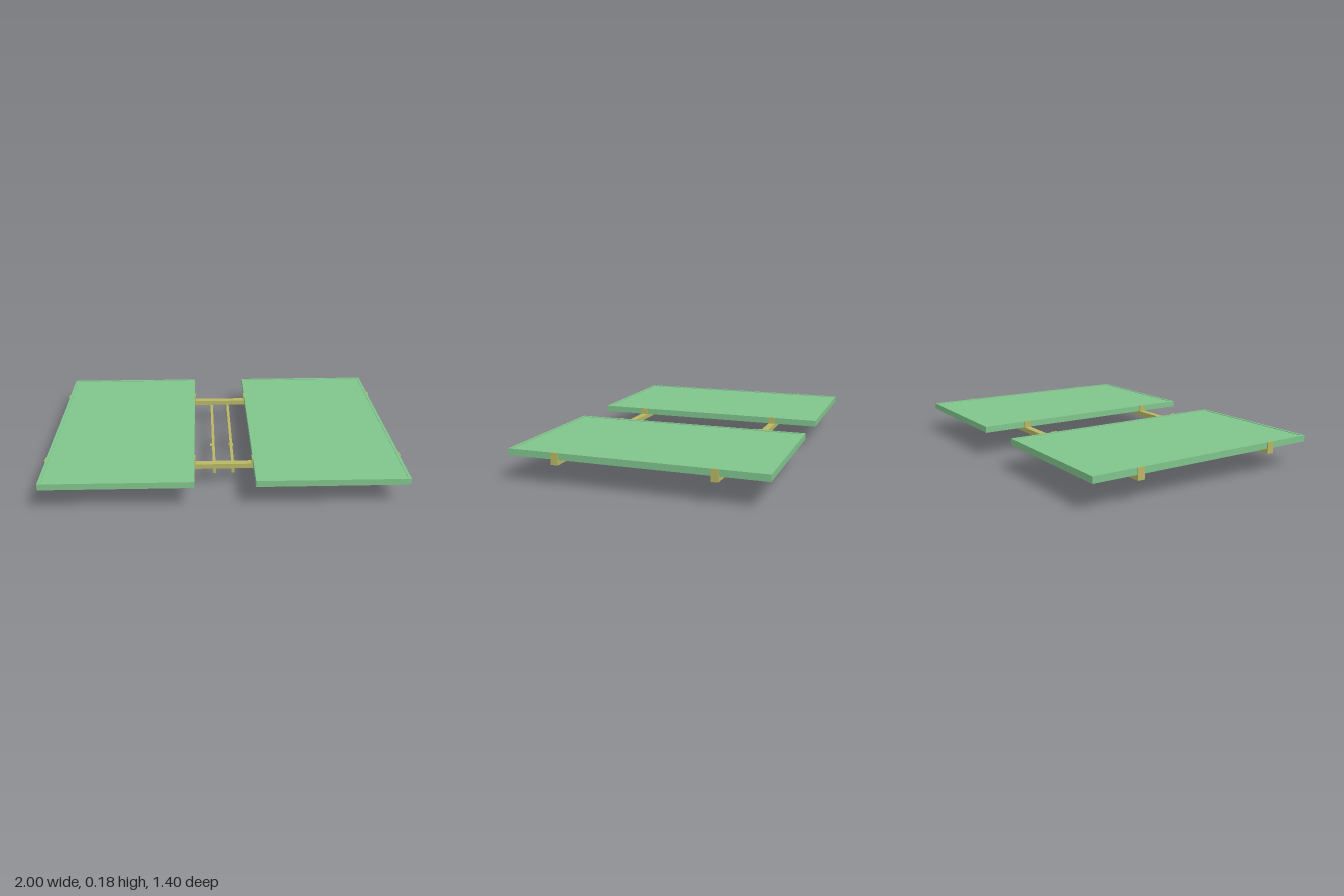
import * as THREE from 'three';

const green = new THREE.MeshStandardMaterial({ color: 0x80c48c });
const olive = new THREE.MeshStandardMaterial({ color: 0xb8b664 });

function add(parent, name, geometry, material, x, y, z) {
  const mesh = new THREE.Mesh(geometry, material);
  mesh.name = name;
  mesh.position.set(x, y, z);
  parent.add(mesh);
  return mesh;
}

// Box given by its limits along each axis
function bar(parent, name, material, [x0, x1], [y0, y1], [z0, z1]) {
  return add(parent, name, new THREE.BoxGeometry(x1 - x0, y1 - y0, z1 - z0), material,
    (x0 + x1) / 2, (y0 + y1) / 2, (z0 + z1) / 2);
}

// Flat panel: open-bottomed rim, thin sheet set just below its top, small box underneath
function makePanel(side) {
  const panel = new THREE.Group();
  panel.name = side > 0 ? 'leftPanel' : 'rightPanel';
  const w = 0.415, d = 0.702, t = 0.016;
  const rim = new THREE.Shape([[-w, -d], [w, -d], [w, d], [-w, d]].map(p => new THREE.Vector2(...p)));
  rim.holes.push(new THREE.Path([[t - w, t - d], [t - w, d - t], [w - t, d - t], [w - t, t - d]]
    .map(p => new THREE.Vector2(...p))));
  const rimGeo = new THREE.ExtrudeGeometry(rim, { depth: 0.036, bevelEnabled: false }).rotateX(-Math.PI / 2);
  add(panel, 'panelRim', rimGeo, green, 0, 0.141, 0);
  bar(panel, 'panelSheet', green, [t - w, w - t], [0.169, 0.174], [t - d, d - t]);
  bar(panel, 'junctionBox', green, [-0.045, 0.045], [0.155, 0.169], [-0.645, -0.58]);
  panel.position.x = side * 0.579;
  return panel;
}

// Tapered lug with a rounded foot and a pin hole, drawn in the z-y plane
function lugGeometry() {
  const s = new THREE.Shape();
  s.moveTo(-0.04, 0.086);
  s.lineTo(-0.022, 0.018);
  s.quadraticCurveTo(-0.017, 0, -0.004, 0);
  s.lineTo(0.004, 0);
  s.quadraticCurveTo(0.017, 0, 0.022, 0.018);
  s.lineTo(0.04, 0.086);
  s.closePath();
  const hole = new THREE.Path();
  hole.absarc(0, 0.024, 0.011, 0, Math.PI * 2, true);
  s.holes.push(hole);
  return new THREE.ExtrudeGeometry(s, { depth: 0.012, bevelEnabled: false, curveSegments: 10 })
    .translate(0, 0, -0.006).rotateY(Math.PI / 2);
}

export function createModel() {
  const model = new THREE.Group();
  model.name = 'twinPanelTable';

  // Cross rails under both panels
  for (const z of [-0.43, 0.43]) {
    bar(model, 'crossRail', olive, [-0.995, 0.995], [0.113, 0.141], [z - 0.02, z + 0.02]);
  }

  for (const side of [-1, 1]) {
    model.add(makePanel(side));

    // Lengthwise rails
    const x = side * 0.62, c = side * 0.053;
    bar(model, 'lengthRail', olive, [x - 0.028, x + 0.028], [0.085, 0.113], [-0.485, 0.485]);
    bar(model, 'centreRail', olive, [c - 0.008, c + 0.008], [0.085, 0.113], [-0.45, 0.45]);

    // Clips holding the outer and inner panel edges
    for (const z of [-0.43, 0.43]) {
      for (const e of [0.997, 0.161]) {
        bar(model, 'panelClip', olive, [side * e - 0.003, side * e + 0.003], [0.113, 0.179], [z - 0.02, z + 0.02]);
      }
    }

    // Pivot lug and its pin
    add(model, 'pivotLug', lugGeometry(), olive, c, 0, 0);
    const pin = new THREE.CylinderGeometry(0.011, 0.011, 0.026, 16).rotateZ(Math.PI / 2);
    add(model, 'pivotPin', pin, olive, side * 0.059, 0.024, 0);
  }
  return model;
}
